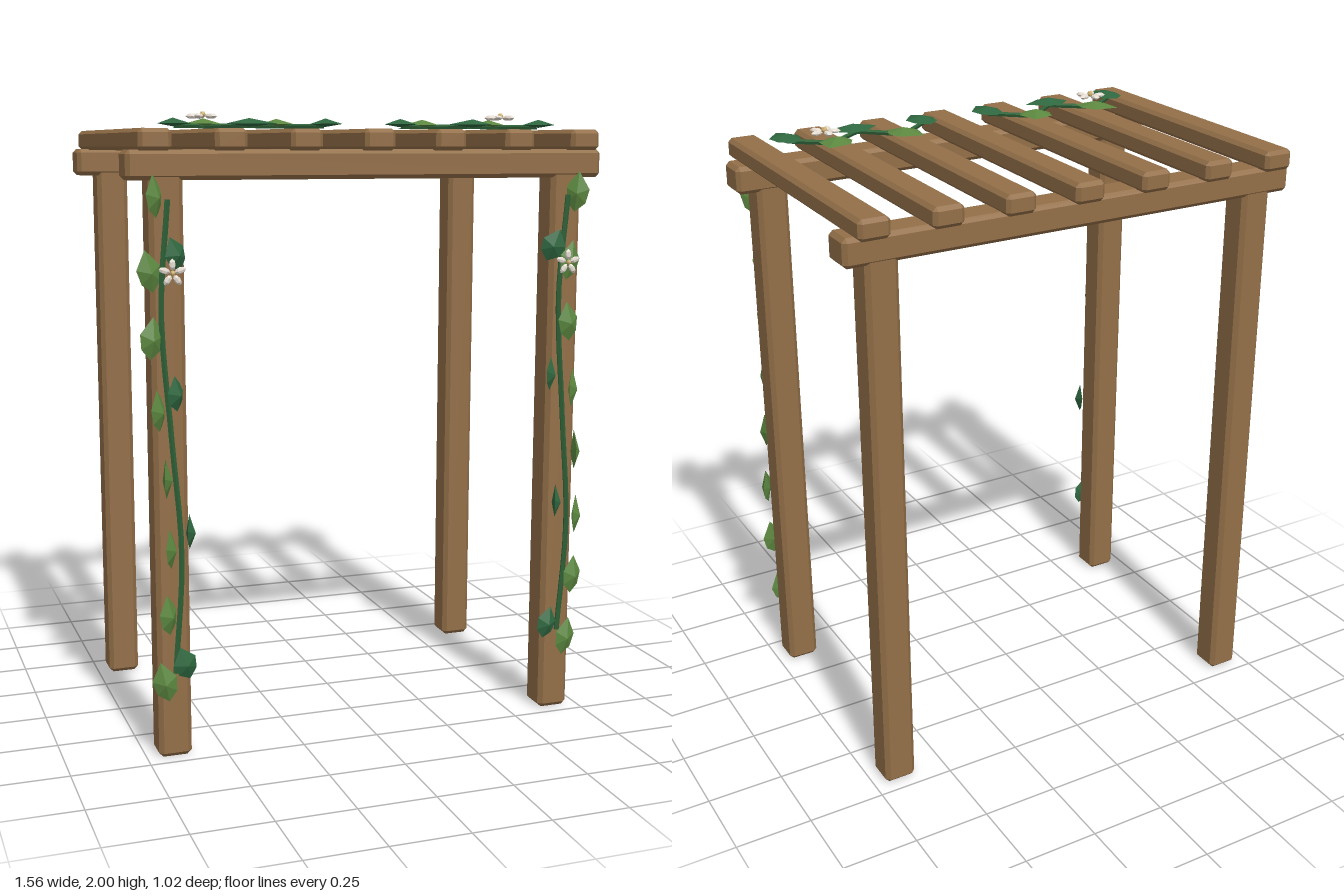
import * as THREE from 'three';
import { ConvexGeometry } from 'three/addons/geometries/ConvexGeometry.js';

const mat = (name, color, extra = {}) =>
  Object.assign(new THREE.MeshStandardMaterial({ color, flatShading: true, ...extra }), { name });

// Box with flat chamfers on every edge
function chamferBox(w, h, d, c) {
  const pts = [];
  for (const x of [-1, 1]) for (const y of [-1, 1]) for (const z of [-1, 1])
    for (let k = 0; k < 3; k++)
      pts.push(new THREE.Vector3(
        x * (w / 2 - (k === 0 ? 0 : c)),
        y * (h / 2 - (k === 1 ? 0 : c)),
        z * (d / 2 - (k === 2 ? 0 : c))));
  return new ConvexGeometry(pts);
}

// Unit leaf: pointed outline along y with a raised middle on both faces
function leafGeometry() {
  const outline = [[0, -0.5], [0.4, -0.27], [0.5, 0.08], [0, 0.5], [-0.5, 0.08], [-0.4, -0.27]];
  const p = [];
  outline.forEach((a, i) => {
    const b = outline[(i + 1) % outline.length];
    p.push(0, -0.05, 0.65, ...a, 0, ...b, 0);
    p.push(0, -0.05, -0.35, ...b, 0, ...a, 0);
  });
  const g = new THREE.BufferGeometry();
  g.setAttribute('position', new THREE.Float32BufferAttribute(p, 3));
  g.computeVertexNormals();
  return g;
}

export function createModel() {
  const model = new THREE.Group();
  model.name = 'pergola';
  const wood = mat('wood', 0x936f48);
  const lightLeaf = mat('lightLeaf', 0x5c8840);
  const darkLeaf = mat('darkLeaf', 0x2f6840);
  const stemGreen = mat('stemGreen', 0x2f6238);
  const petalWhite = mat('petalWhite', 0xe6ddd2);
  const pistilTan = mat('pistilTan', 0xd0b070);

  const add = (parent, name, geo, material, x = 0, y = 0, z = 0) => {
    const m = new THREE.Mesh(geo, material);
    m.name = name;
    m.position.set(x, y, z);
    parent.add(m);
    return m;
  };

  // Timber frame: four posts, two beams, seven rafters
  const post = chamferBox(0.105, 1.87, 0.105, 0.014);
  const beam = chamferBox(1.56, 0.09, 0.112, 0.013);
  const rafter = chamferBox(0.1, 0.065, 1.02, 0.012);
  for (const z of [-0.41, 0.41]) {
    for (const x of [-0.66, 0.66]) add(model, 'post', post, wood, x, 0.935, z);
    add(model, 'beam', beam, wood, 0, 1.84, z);
  }
  for (const x of [-0.7, -0.47, -0.235, 0, 0.235, 0.47, 0.7])
    add(model, 'rafter', rafter, wood, x, 1.914, 0);

  const leafGeo = leafGeometry();
  const petalGeo = new THREE.SphereGeometry(1, 6, 4);

  const stem = (parent, points, r, smooth) => {
    const v = points.map(p => new THREE.Vector3(...p));
    const curve = new THREE.CatmullRomCurve3(v, false, 'catmullrom', smooth);
    add(parent, 'stem', new THREE.TubeGeometry(curve, 20, r, 5), stemGreen);
  };

  // Flower facing +z with five petals
  function flower(parent, r, x, y, z) {
    const g = new THREE.Group();
    g.name = 'flower';
    g.position.set(x, y, z);
    for (let i = 0; i < 5; i++) {
      const a = Math.PI / 2 + i * Math.PI * 2 / 5;
      const m = add(g, 'petal', petalGeo, petalWhite, Math.cos(a) * r * 0.6, Math.sin(a) * r * 0.6, 0);
      m.scale.set(r * 0.42, r * 0.24, r * 0.17);
      m.rotation.z = a;
    }
    add(g, 'pistil', petalGeo, pistilTan, 0, 0, r * 0.1).scale.setScalar(r * 0.2);
    parent.add(g);
    return g;
  }

  // Climbing vines on the front posts
  // Leaf rows: y, right-post x, left-post x, yaws, roll, dark
  const climbing = [
    [1.75, -0.70, 0.69, 0.7, -0.5, 0.1, 0],
    [1.58, -0.64, 0.61, 0.5, -0.3, 0.4, 1],
    [1.53, -0.72, 0.67, 0.2, 0.2, 0.2, 0],
    [1.33, -0.715, 0.67, 0.2, 0.2, -0.1, 0],
    [1.16, -0.645, 0.61, 0.7, 0.8, 0.1, 1],
    [1.11, -0.70, 0.69, 0.8, 0.9, 0.1, 0],
    [0.90, -0.68, 0.705, 1.25, 1.3, 0.1, 0],
    [0.73, -0.61, 0.64, 1.2, 1.1, 0.0, 1],
    [0.68, -0.67, 0.715, 1.0, 0.9, 0.1, 0],
    [0.47, -0.68, 0.71, 0.6, 0.3, 0.1, 0],
    [0.31, -0.63, 0.62, 0.2, 0.2, 0.3, 1],
    [0.255, -0.695, 0.69, -0.1, 0.2, 0.2, 0],
  ];
  [-1, 1].forEach((side, s) => {
    const vine = new THREE.Group();
    vine.name = s ? 'leftVine' : 'rightVine';
    model.add(vine);
    const cx = side * 0.66;
    stem(vine, [[0, 1.74], [-0.025, 1.4], [0, 1.02], [0.025, 0.65], [0, 0.28]]
      .map(([x, y]) => [cx + x, y, 0.472]), 0.009, 0.5);
    for (const [y, xr, xl, yr, yl, roll, dark] of climbing) {
      const m = add(vine, 'leaf', leafGeo, dark ? darkLeaf : lightLeaf, s ? xl : xr, y, 0.476);
      m.scale.set(0.078, dark ? 0.11 : 0.13, 0.03);
      m.rotation.set(0, s ? yl : yr, -side * roll);
    }
    flower(vine, 0.042, s ? 0.65 : -0.655, 1.525, 0.503);
  });

  // Vines lying on the rafters: x, z, direction angle from -z, width, length, dark
  const roof = [
    [0.61, 0.355, Math.PI, 0.1, 0.15, 1],
    [0.49, 0.225, -0.7, 0.105, 0.15, 0],
    [0.365, 0.355, 1.65, 0.1, 0.16, 1],
    [0.245, 0.225, 0.55, 0.11, 0.14, 0],
    [0.125, 0.355, Math.PI, 0.1, 0.15, 1],
  ];
  for (const side of [-1, 1]) {
    const vine = new THREE.Group();
    vine.name = 'roofVine';
    model.add(vine);
    stem(vine, [[0.61, 0.34], [0.49, 0.25], [0.365, 0.34], [0.245, 0.24], [0.125, 0.34]]
      .map(([x, z]) => [side * x, 1.955, z]), 0.008, 0.1);
    for (const [x, z, a, w, l, dark] of roof) {
      const m = add(vine, 'leaf', leafGeo, dark ? darkLeaf : lightLeaf, side * x, 1.962, z);
      m.scale.set(w, l, 0.026);
      m.rotation.set(-Math.PI / 2, 0, side * a);
    }
    flower(vine, 0.052, side * 0.502, 1.985, 0.287).rotation.x = -Math.PI / 2;
  }
  return model;
}
